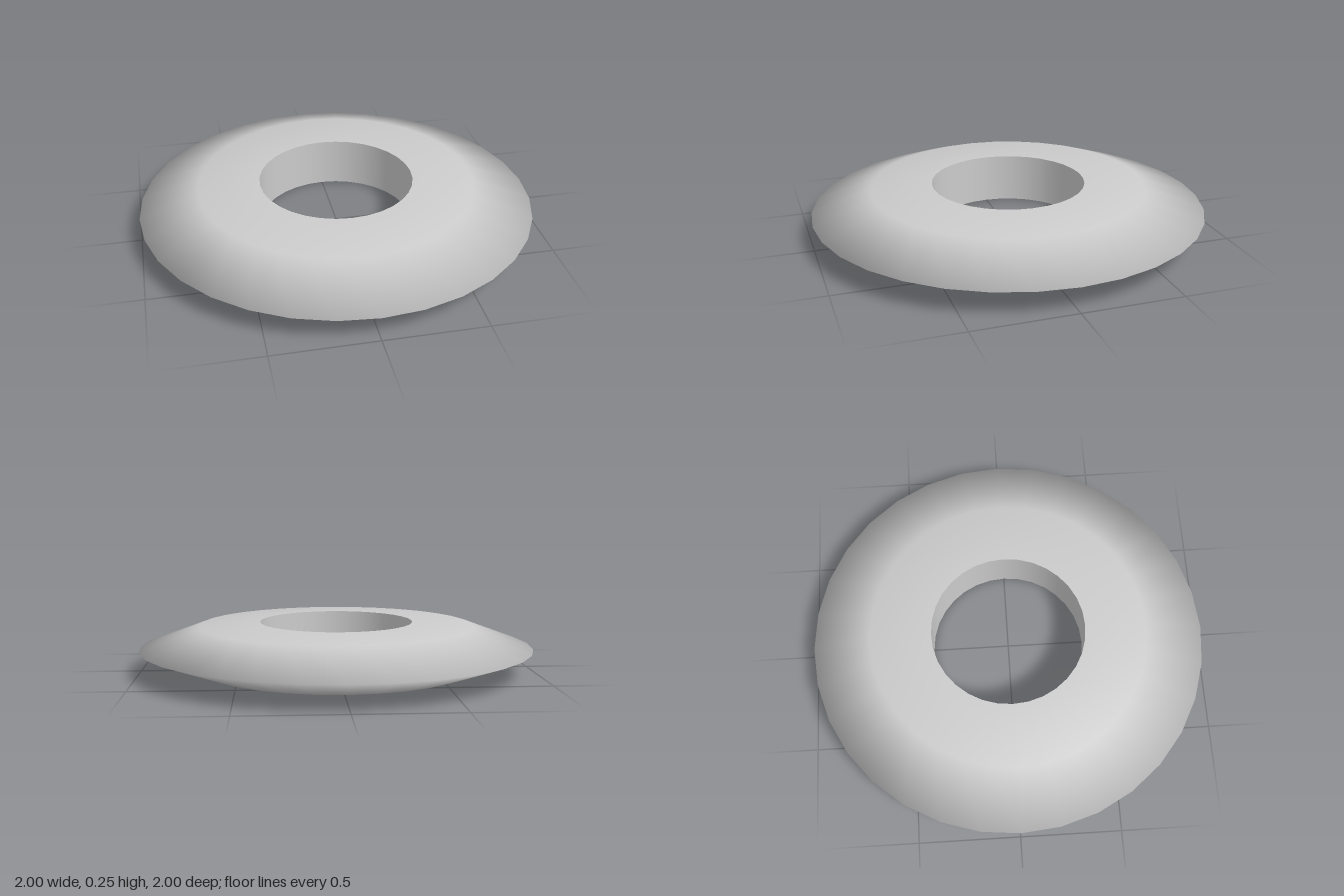
import * as THREE from 'three';

const SEGMENTS = 32;

export function createModel() {
  const group = new THREE.Group();
  group.name = 'ringDisc';
  const material = new THREE.MeshStandardMaterial({ color: 0xcccccc });

  // Revolve a [radius, height] profile around the y axis
  const addLathe = (name, profile) => {
    const points = profile.map(([r, y]) => new THREE.Vector2(r, y));
    const mesh = new THREE.Mesh(new THREE.LatheGeometry(points, SEGMENTS), material);
    mesh.name = name;
    group.add(mesh);
  };

  // Smooth body: slightly domed faces tapering to a thin outer rim
  addLathe('discBody', [
    [0.39, 0], [0.70, 0.015], [1, 0.125], [0.70, 0.235], [0.39, 0.25],
  ]);

  // Straight wall of the centre hole, facing inwards with sharp edges
  addLathe('centreHole', [[0.39, 0.25], [0.39, 0]]);

  return group;
}
